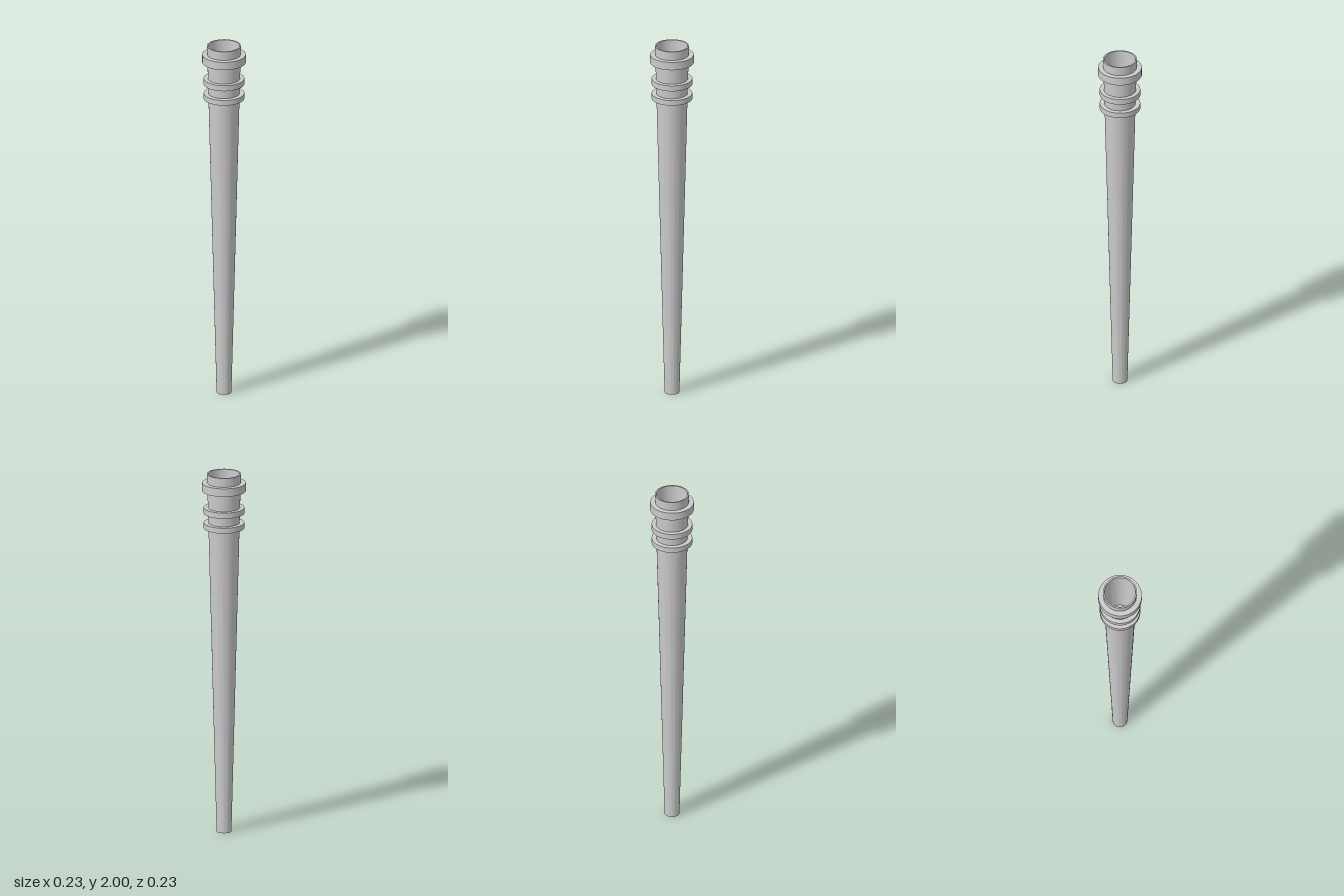
import * as THREE from 'three';
import { toCreasedNormals } from 'three/addons/utils/BufferGeometryUtils.js';

const SEGMENTS = 48;
const BOTTOM_R = 0.04, TOP_R = 0.091, HEIGHT = 2;

// Outer radius of the tapered body at height y
const bodyRadius = (y) => BOTTOM_R + (TOP_R - BOTTOM_R) * y / HEIGHT;

export function createModel() {
  const group = new THREE.Group();
  group.name = 'taperedPeg';
  const material = new THREE.MeshStandardMaterial({ color: 0xcccccc });

  // Turned part from [radius, y] points, sharp at the profile corners
  const turn = (name, profile) => {
    const points = profile.map(([r, y]) => new THREE.Vector2(r, y));
    const geometry = toCreasedNormals(new THREE.LatheGeometry(points, SEGMENTS), Math.PI / 6);
    const mesh = new THREE.Mesh(geometry, material);
    mesh.name = name;
    group.add(mesh);
  };

  // Tapered body with a hollow socket in the top
  turn('taperedBody', [
    [0, 0], [BOTTOM_R, 0], [TOP_R, HEIGHT], [0.083, HEIGHT], [0.073, 1.6], [0, 1.6],
  ]);

  // Raised collars: name, bottom, top, radius
  const collars = [
    ['upperCollar', 1.905, 1.95, 0.117],
    ['middleCollar', 1.78, 1.812, 0.109],
    ['lowerCollar', 1.697, 1.727, 0.109],
  ];
  for (const [name, y0, y1, r] of collars) {
    const inner = bodyRadius(y0) - 0.003;
    turn(name, [[inner, y0], [r, y0], [r, y1], [inner, y1]]);
  }

  return group;
}
